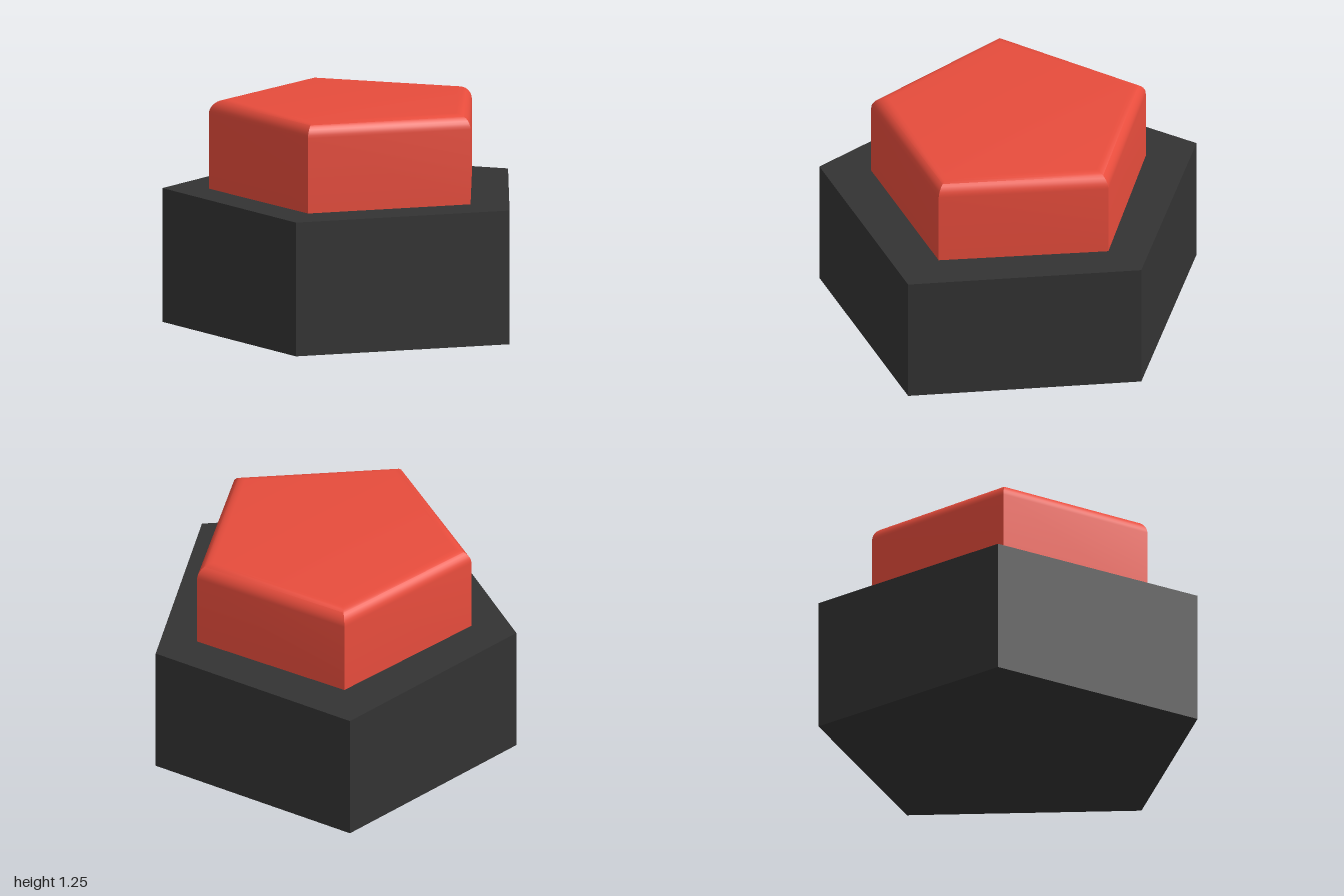
import * as THREE from 'three';
import { toCreasedNormals } from 'three/addons/utils/BufferGeometryUtils.js';

const SIDES = 5;
const CENTRE_Z = 0.1056; // puts the pentagon's bounding box on the origin
const BASE_RADIUS = 1.0515, BASE_DEPTH_RADIUS = 1.1056, BASE_HEIGHT = 0.75;
const BUTTON_RADIUS = 0.8, BUTTON_TOP = 1.25, BEVEL = 0.08;

export function createModel() {
  const model = new THREE.Group();
  model.name = 'pentagonButton';

  // Dark five-sided base, one corner to the back and a flat side to the front
  const baseGeometry = new THREE.CylinderGeometry(1, 1, BASE_HEIGHT, SIDES, 1, false, Math.PI);
  baseGeometry.scale(BASE_RADIUS, 1, BASE_DEPTH_RADIUS);
  const base = new THREE.Mesh(
    baseGeometry,
    new THREE.MeshStandardMaterial({ color: 0x333333, flatShading: true })
  );
  base.name = 'base';
  base.position.set(0, BASE_HEIGHT / 2, CENTRE_Z);
  model.add(base);

  // Red button cap: straight walls, then a rounded rim with mitred corners
  const profile = [new THREE.Vector2(BUTTON_RADIUS, BASE_HEIGHT)];
  const steps = 8;
  for (let i = 0; i <= steps; i++) {
    const a = (i / steps) * Math.PI / 2;
    const inset = BEVEL * (1 - Math.cos(a)) / Math.cos(Math.PI / SIDES);
    profile.push(new THREE.Vector2(BUTTON_RADIUS - inset, BUTTON_TOP - BEVEL * (1 - Math.sin(a))));
  }
  profile.push(new THREE.Vector2(0, BUTTON_TOP));
  const cap = new THREE.Mesh(
    toCreasedNormals(new THREE.LatheGeometry(profile, SIDES, Math.PI), 0.6),
    new THREE.MeshStandardMaterial({ color: 0xe74c3c })
  );
  cap.name = 'buttonCap';
  cap.position.z = CENTRE_Z;
  model.add(cap);

  return model;
}
